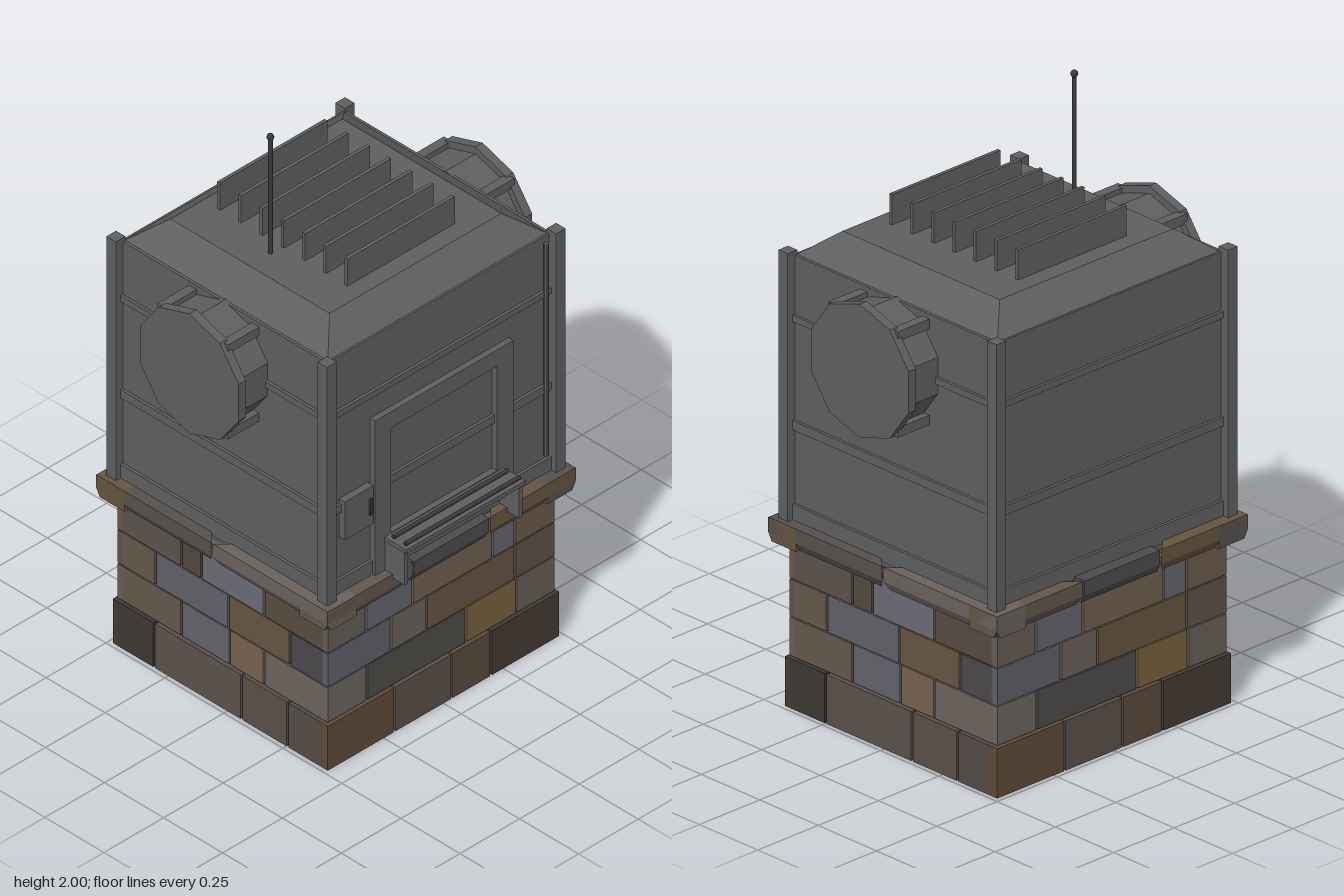
import * as THREE from 'three';

const mat = (color, extra = {}) => new THREE.MeshStandardMaterial({ color, ...extra });
const METAL = mat(0x5e5f60, { flatShading: true });
const DARK = mat(0x3a3b3c);
const MORTAR = mat(0x5a5a58);

function add(parent, name, geometry, material, x = 0, y = 0, z = 0) {
  const mesh = new THREE.Mesh(geometry, material);
  mesh.name = name;
  mesh.position.set(x, y, z);
  parent.add(mesh);
  return mesh;
}

// Box given by its lower and upper limits
function box(parent, name, x0, x1, y0, y1, z0, z1, material = METAL) {
  return add(parent, name, new THREE.BoxGeometry(x1 - x0, y1 - y0, z1 - z0), material,
    (x0 + x1) / 2, (y0 + y1) / 2, (z0 + z1) / 2);
}

// Stone courses: heights, outward step, joint positions and stone colours
const LEVELS = [0, 0.165, 0.295, 0.42, 0.545];
const WIDE = [
  [[-0.205, 0.035, 0.2], [0x5f4a38, 0x5a5048, 0x5a4a3c, 0x453a32]],
  [[-0.31, 0.105, 0.315], [0x6a6560, 0x4d4c48, 0x77603f, 0x665e56]],
  [[-0.21, -0.06, 0.31], [0x5e6068, 0x6a605a, 0x66533f, 0x5c5248]],
  [[-0.315, -0.12, 0.215, 0.31], [0x655d57, 0x62646c, 0x6f5f50, 0x63656e, 0x6a5a48]],
];
const DEEP = [
  [[-0.28, 0.09, 0.285], [0x3c3733, 0x5a514b, 0x5a4f47, 0x544b46]],
  [[-0.175, 0.03, 0.175], [0x65584c, 0x62646a, 0x77624e, 0x6c635c]],
  [[-0.285, 0.025, 0.285], [0x64574a, 0x606167, 0x665443, 0x4a484a]],
  [[-0.175, -0.09, 0.175], [0x5a514b, 0x52493f, 0x6b6b74, 0x574b40]],
];

// One wall of the plinth, built facing +z; u is half its length, d its distance out
function stoneWall(courses, u, d, inset) {
  const wall = new THREE.Group();
  wall.name = 'stoneWall';
  courses.forEach(([joints, colors], row) => {
    const step = row === 0 ? 0.01 : 0;
    const end = u + step - inset;
    const edges = [-end, ...joints, end];
    colors.forEach((color, i) => {
      const narrow = edges[i + 1] - edges[i] < 0.16 && i > 0 && i < colors.length - 1;
      const a = edges[i] + (i ? 0.004 : 0);
      const b = edges[i + 1] - (i < colors.length - 1 ? 0.004 : 0);
      box(wall, 'stone', a, b, LEVELS[row] + (row ? 0.002 : 0), LEVELS[row + 1] - 0.002,
        d - (narrow ? 0.04 : 0.025), d + step, mat(color));
    });
  });
  box(wall, 'mortar', -u + 0.012, u - 0.012, 0.006, 0.56, d - 0.036, d - 0.012, MORTAR);
  return wall;
}

// Coping slabs of one wall, with chamfered lower edge and mitred corners
function coping(u, d, joints, colors) {
  const group = new THREE.Group();
  group.name = 'coping';
  const edges = [-u, ...joints, u];
  const profile = new THREE.Shape([[-0.12, 0.545], [-0.015, 0.545], [0, 0.572], [0, 0.62], [-0.12, 0.62]]
    .map(([x, y]) => new THREE.Vector2(x, y)));
  colors.forEach((color, i) => {
    const first = i === 0, last = i === colors.length - 1;
    const a = edges[i] + (first ? 0 : 0.003), b = edges[i + 1] - (last ? 0 : 0.003);
    const g = new THREE.ExtrudeGeometry(profile, { depth: b - a, bevelEnabled: false });
    const p = g.attributes.position;
    for (let k = 0; k < p.count; k++) {
      const out = p.getX(k), atEnd = p.getZ(k) > (b - a) / 2;
      // Shorten the corner ends towards the inside of the wall
      if (atEnd && last) p.setZ(k, p.getZ(k) + out);
      if (!atEnd && first) p.setZ(k, p.getZ(k) - out);
    }
    g.translate(d, 0, -b).rotateY(-Math.PI / 2);
    g.computeVertexNormals();
    add(group, 'copingSlab', g, mat(color));
  });
  return group;
}

function plinth() {
  const group = new THREE.Group();
  group.name = 'plinth';
  for (let side = 0; side < 4; side++) {
    const wide = side % 2 === 0;
    const [u, d] = wide ? [0.475, 0.445] : [0.445, 0.475];
    const wall = stoneWall(wide ? WIDE : DEEP, u, d, wide ? 0 : 0.02);
    wall.add(wide ? coping(0.52, 0.49, [-0.16, 0.16], [0x62564a, 0x4c4b4c, 0x65543f])
      : coping(0.49, 0.52, [0], [0x55504c, 0x69615c]));
    wall.rotation.y = side * Math.PI / 2;
    group.add(wall);
  }
  return group;
}

// Round side drum facing +x, with end disc and four clamps
function drum() {
  const group = new THREE.Group();
  group.name = 'sideDrum';
  const disc = (name, r, x0, x1) => {
    const g = new THREE.CylinderGeometry(r, r, x1 - x0, 10);
    g.rotateY(Math.PI / 2).rotateZ(-Math.PI / 2).rotateX(Math.PI / 2);
    // Keep corners at the front and rear so that top and bottom are flat
    g.rotateX(Math.PI / 2);
    add(group, name, g, METAL, (x0 + x1) / 2, 1.295, 0);
  };
  disc('drumBody', 0.195, 0.46, 0.59);
  disc('drumDisc', 0.22, 0.585, 0.615);
  for (const sy of [-1, 1]) for (const sz of [-1, 1]) {
    const y = 1.295 + sy * 0.158, z = sz * 0.133;
    box(group, 'drumClamp', 0.47, 0.6, y - 0.016, y + 0.016, z - 0.016, z + 0.016);
  }
  return group;
}

function cabin() {
  const group = new THREE.Group();
  group.name = 'cabin';
  box(group, 'cabinBody', -0.47, 0.47, 0.59, 1.485, -0.437, 0.437);
  for (const [y0, y1] of [[0.61, 0.67], [0.915, 0.945], [1.27, 1.292]])
    box(group, 'band', -0.48, 0.48, y0, y1, -0.447, 0.447);
  for (const sx of [-1, 1]) for (const sz of [-1, 1])
    box(group, 'cornerPost', sx * 0.48 - 0.02, sx * 0.48 + 0.02, 0.61, 1.5, sz * 0.447 - 0.02, sz * 0.447 + 0.02);

  // Hipped roof
  const roof = new THREE.CylinderGeometry(0.36 * Math.SQRT2, 0.46 * Math.SQRT2, 0.075, 4);
  roof.rotateY(Math.PI / 4).scale(1, 1, 0.43 / 0.46);
  add(group, 'roof', roof, METAL, 0, 1.5225, 0);
  for (let i = -3; i <= 3; i++)
    box(group, 'roofFin', -0.225, 0.225, 1.55, 1.66, i * 0.09 - 0.006, i * 0.09 + 0.006);
  add(group, 'antenna', new THREE.CylinderGeometry(0.007, 0.007, 0.44, 8), DARK, -0.27, 1.77, -0.005);
  add(group, 'antennaTip', new THREE.SphereGeometry(0.012, 10, 8), DARK, -0.27, 1.988, -0.005);

  const right = drum(), left = drum();
  right.rotation.y = Math.PI;
  group.add(left, right);
  return group;
}

function frontFittings() {
  const group = new THREE.Group();
  group.name = 'frontFittings';
  // Raised frame around the hatch
  const frame = new THREE.Shape([[-0.29, 0.62], [0.29, 0.62], [0.29, 1.19], [-0.29, 1.19]]
    .map(([x, y]) => new THREE.Vector2(x, y)));
  frame.holes.push(new THREE.Path([[-0.222, 0.745], [-0.222, 1.13], [0.222, 1.13], [0.222, 0.745]]
    .map(([x, y]) => new THREE.Vector2(x, y))));
  add(group, 'hatchFrame', new THREE.ExtrudeGeometry(frame, { depth: 0.028, bevelEnabled: false }), METAL, 0, 0, 0.4);

  // Delivery shelf with brackets and rails
  box(group, 'shelf', -0.25, 0.25, 0.727, 0.742, 0.41, 0.52);
  for (const s of [-1, 1])
    box(group, 'shelfBracket', s * 0.24 - 0.007, s * 0.24 + 0.007, 0.605, 0.73, 0.41, 0.51);
  for (const z of [0.455, 0.505]) {
    const rail = add(group, 'shelfRail', new THREE.CylinderGeometry(0.007, 0.007, 0.48, 8), DARK, 0, 0.752, z);
    rail.rotation.z = Math.PI / 2;
  }

  // Control box with handle, and conduit
  box(group, 'controlBox', -0.42, -0.3, 0.82, 0.96, 0.4, 0.432);
  box(group, 'controlHandle', -0.318, -0.308, 0.86, 0.92, 0.43, 0.438, DARK);
  add(group, 'conduit', new THREE.CylinderGeometry(0.008, 0.008, 0.78, 8), METAL, 0.435, 1.08, 0.421);
  return group;
}

export function createModel() {
  const model = new THREE.Group();
  model.name = 'utilityKiosk';
  for (const part of [plinth(), cabin()]) {
    part.position.z = -0.03;
    model.add(part);
  }
  model.add(frontFittings());
  return model;
}
